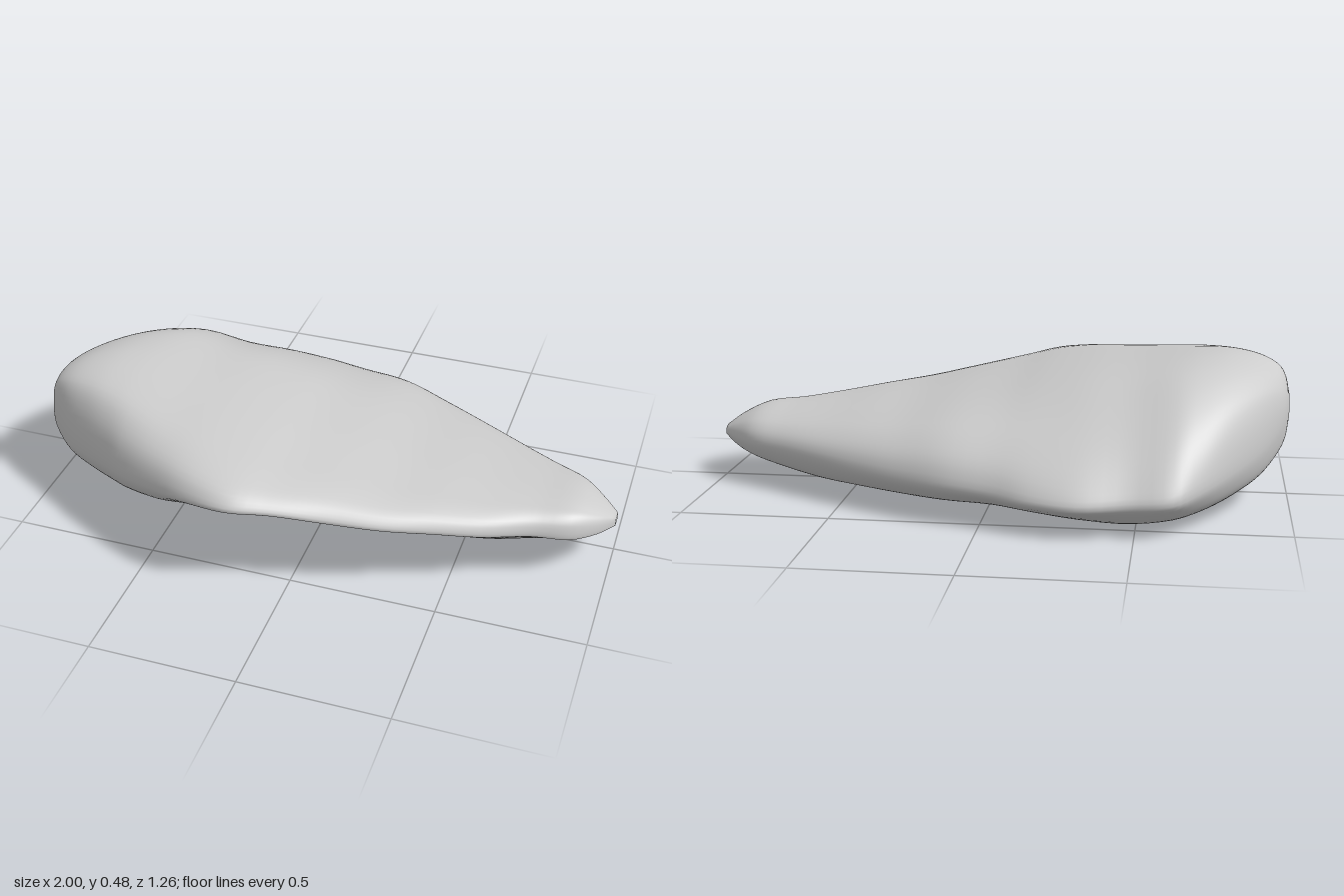
import * as THREE from 'three';

// Stations along the slab: x, back z, front z, back rim y, front rim y, top y, bottom y
const stations = [
  [-1.0, 0.03, 0.17, 0.295, 0.28, 0.34, 0.25],
  [-0.988, -0.03, 0.21, 0.275, 0.255, 0.39, 0.19],
  [-0.965, -0.09, 0.235, 0.25, 0.235, 0.425, 0.15],
  [-0.9, -0.22, 0.29, 0.2, 0.22, 0.46, 0.09],
  [-0.8, -0.38, 0.35, 0.16, 0.23, 0.48, 0.05],
  [-0.7, -0.52, 0.41, 0.13, 0.25, 0.48, 0.03],
  [-0.62, -0.595, 0.46, 0.11, 0.265, 0.472, 0.02],
  [-0.48, -0.605, 0.53, 0.1, 0.295, 0.452, 0.0],
  [-0.32, -0.635, 0.6, 0.095, 0.33, 0.435, 0.02],
  [-0.17, -0.61, 0.63, 0.1, 0.345, 0.41, 0.035],
  [-0.04, -0.56, 0.585, 0.11, 0.33, 0.38, 0.04],
  [0.13, -0.515, 0.52, 0.12, 0.29, 0.35, 0.036],
  [0.3, -0.44, 0.465, 0.125, 0.26, 0.315, 0.036],
  [0.45, -0.36, 0.4, 0.13, 0.235, 0.295, 0.037],
  [0.6, -0.275, 0.335, 0.14, 0.21, 0.272, 0.04],
  [0.75, -0.19, 0.25, 0.145, 0.185, 0.255, 0.06],
  [0.87, -0.125, 0.205, 0.148, 0.165, 0.245, 0.085],
  [0.95, -0.05, 0.135, 0.148, 0.155, 0.21, 0.11],
  [1.0, 0.005, 0.065, 0.15, 0.15, 0.175, 0.14],
];

// Section profile: position from back (0) to front (1), then the rise from rim
// to face where the edge is sharp and where it is rounded
const topBack = [[0, 0, 0], [0.03, 0.17, 0.34], [0.12, 0.46, 0.63], [0.25, 0.74, 0.81], [0.37, 0.91, 0.91], [0.5, 0.98, 0.97]];
const topFront = [[0.63, 1, 1], [0.77, 0.98, 0.98], [0.89, 0.89, 0.87], [0.97, 0.58, 0.52], [1, 0, 0]];
const bottomFront = [[0.97, 0.1, 0.32], [0.9, 0.31, 0.59], [0.79, 0.63, 0.82], [0.7, 0.87, 0.94], [0.6, 0.98, 1]];
const bottomBack = [[0.4, 1, 1], [0.2, 1, 0.97], [0.09, 0.8, 0.8], [0.03, 0.4, 0.45]];

function section([x, zb, zf, yb, yf, top, bottom]) {
  // The left end is rounded at the front and back, the right end at the back
  const { smoothstep, lerp } = THREE.MathUtils;
  const roundFront = smoothstep(-x, 0.2, 0.75);
  const roundBack = smoothstep(-x, 0.6, 0.9) + smoothstep(x, -0.35, 0.15);
  const points = (list, rim, face, round) => list.map(([t, sharp, soft]) =>
    new THREE.Vector3(x, lerp(rim, face, lerp(sharp, soft, round)), lerp(zb, zf, t)));
  return [
    ...points(topBack, yb, top, roundBack), ...points(topFront, yf, top, roundFront),
    ...points(bottomFront, yf, bottom, roundFront), ...points(bottomBack, yb, bottom, roundBack),
  ];
}

function loft(rings, around, along) {
  // Smooth each ring, then smooth lengthwise through matching ring points
  const loops = rings.map(r => new THREE.CatmullRomCurve3(r, true).getPoints(around).slice(0, around));
  const positions = [], index = [];
  for (let j = 0; j < around; j++) {
    const rail = new THREE.CatmullRomCurve3(loops.map(l => l[j]));
    for (const p of rail.getPoints(along)) positions.push(p.x, p.y, p.z);
  }
  const row = along + 1;
  for (let j = 0; j < around; j++) {
    const a = j * row, b = ((j + 1) % around) * row;
    for (let i = 0; i < along; i++) {
      index.push(a + i, b + i, a + i + 1, b + i, b + i + 1, a + i + 1);
    }
  }
  // Close both ends with fans
  for (const end of [0, along]) {
    const c = new THREE.Vector3();
    for (let j = 0; j < around; j++) {
      c.add(new THREE.Vector3().fromArray(positions, (j * row + end) * 3));
    }
    c.divideScalar(around);
    const centre = positions.length / 3;
    positions.push(c.x, c.y, c.z);
    for (let j = 0; j < around; j++) {
      const a = j * row + end, b = ((j + 1) % around) * row + end;
      if (end === 0) index.push(centre, b, a);
      else index.push(centre, a, b);
    }
  }
  const geometry = new THREE.BufferGeometry();
  geometry.setAttribute('position', new THREE.Float32BufferAttribute(positions, 3));
  geometry.setIndex(index);
  geometry.computeVertexNormals();
  return geometry;
}

export function createModel() {
  const group = new THREE.Group();
  group.name = 'rock';
  const slab = new THREE.Mesh(
    loft(stations.map(section), 80, 72),
    new THREE.MeshStandardMaterial({ color: 0xcccccc }),
  );
  slab.name = 'rockSlab';
  group.add(slab);
  return group;
}
